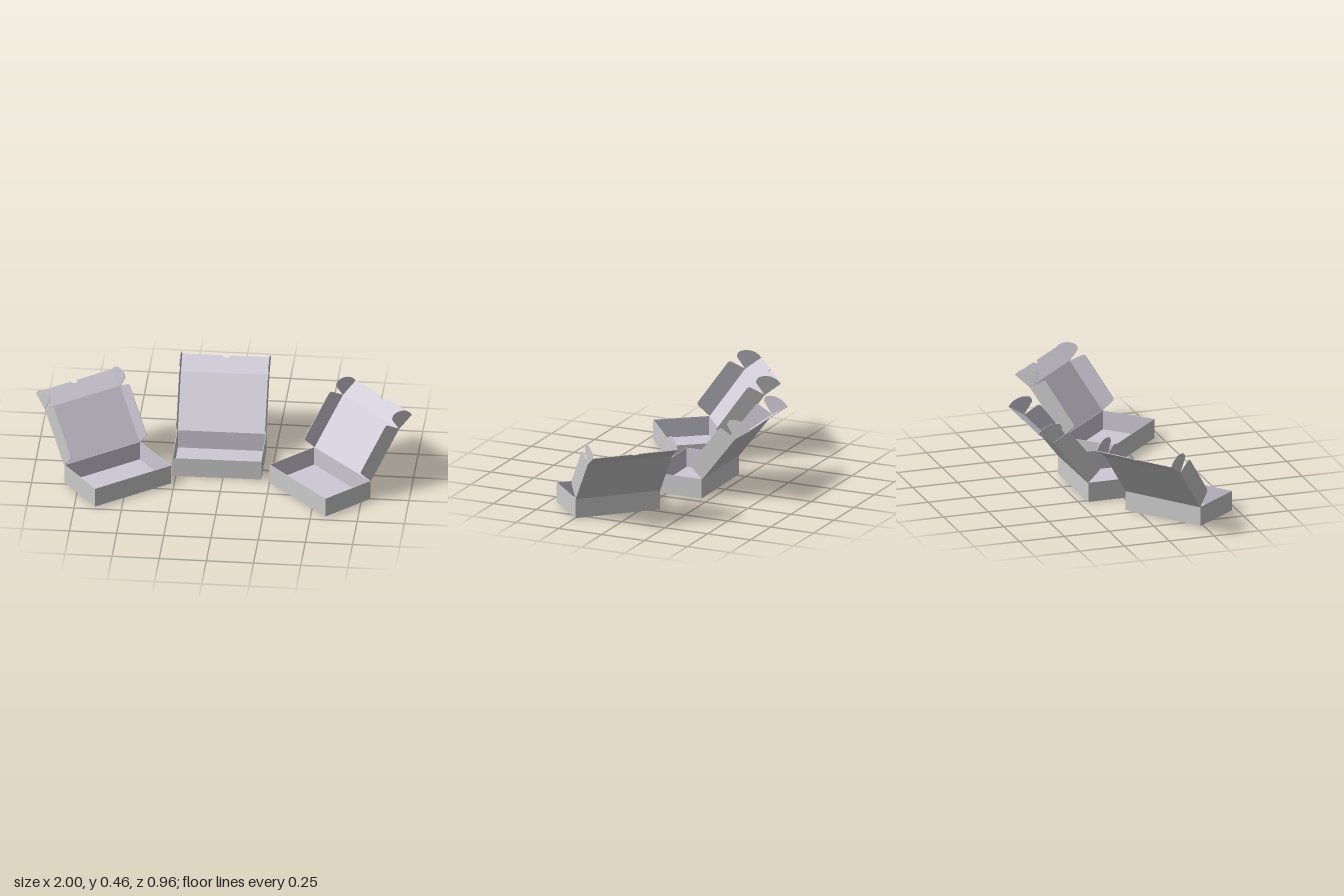
import * as THREE from 'three';

const W = 0.472, D = 0.305, H = 0.107;   // tray width, depth, height
const LID = 0.314, TUCK = 0.105;         // lid panel and tuck flap lengths
const T = 0.003;                         // card thickness

const outside = new THREE.MeshStandardMaterial({ color: 0xcccccc });
outside.name = 'outerCard';
const inside = new THREE.MeshStandardMaterial({ color: 0xcdc9d5 });
inside.name = 'innerCard';

// Card panel drawn in XY: outer card behind z = 0, inner lining facing +z
function panel(parent, name, shape, pos, rx = 0, ry = 0) {
  const g = new THREE.Group();
  g.name = name;
  const card = new THREE.ExtrudeGeometry(shape, { depth: T, bevelEnabled: false, curveSegments: 10 });
  card.translate(0, 0, -T);
  const lining = new THREE.ShapeGeometry(shape, 10);
  lining.translate(0, 0, 0.0005);
  const a = new THREE.Mesh(card, outside), b = new THREE.Mesh(lining, inside);
  a.name = name + 'Outer';
  b.name = name + 'Inner';
  g.add(a, b);
  g.position.set(...pos);
  g.rotation.set(rx, ry, 0);
  parent.add(g);
  return g;
}

function rect(x0, x1, y0, y1) {
  return new THREE.Shape([[x0, y0], [x1, y0], [x1, y1], [x0, y1]].map(p => new THREE.Vector2(...p)));
}

// Side flap of the lid: slightly tapered with rounded free corners
function sideFlapShape(s) {
  const p = new THREE.Shape();
  p.moveTo(0, 0);
  p.lineTo(s * 0.083, 0.011);
  p.quadraticCurveTo(s * 0.1, 0.013, s * 0.1, 0.03);
  p.lineTo(s * 0.1, LID - 0.03);
  p.quadraticCurveTo(s * 0.1, LID - 0.012, s * 0.083, LID - 0.01);
  p.lineTo(0, LID);
  p.closePath();
  return p;
}

// Quarter-round ear of the tuck flap
function earShape(s) {
  const p = new THREE.Shape();
  const r = 0.103;
  p.moveTo(0, 0);
  p.lineTo(s * 0.084, 0);
  p.quadraticCurveTo(s * 0.096, 0.008, s * r * Math.cos(0.26), r * Math.sin(0.26));
  for (let i = 1; i <= 10; i++) {
    const a = 0.26 + (Math.PI / 2 - 0.26) * i / 10;
    p.lineTo(s * r * Math.cos(a), r * Math.sin(a));
  }
  p.closePath();
  return p;
}

// Tuck flap with a thumb notch in its free edge
function tuckShape() {
  const p = new THREE.Shape();
  p.moveTo(-W / 2, 0);
  p.lineTo(W / 2, 0);
  p.lineTo(W / 2, TUCK);
  p.lineTo(0.02, TUCK);
  p.absellipse(0, TUCK, 0.02, 0.015, 0, Math.PI, true);
  p.lineTo(-W / 2, TUCK);
  p.closePath();
  return p;
}

function mailerBox(name) {
  const box = new THREE.Group();
  box.name = name;

  // Open tray, hinge along the x axis at the back
  panel(box, 'floor', rect(-W / 2, W / 2, 0, D), [0, T, D], -Math.PI / 2);
  panel(box, 'backWall', rect(-W / 2, W / 2, 0, H), [0, 0, T]);
  panel(box, 'frontWall', rect(-W / 2, W / 2, 0, H), [0, 0, D - T], 0, Math.PI);

  // Raised lid with the tuck flap bent further back
  const lid = new THREE.Group();
  lid.name = 'lid';
  lid.position.y = H;
  lid.rotation.x = -0.659;
  box.add(lid);
  panel(lid, 'lidPanel', rect(-W / 2, W / 2, 0, LID), [0, 0, 0]);
  const tuck = new THREE.Group();
  tuck.name = 'tuck';
  tuck.position.y = LID;
  tuck.rotation.x = -0.337;
  lid.add(tuck);
  panel(tuck, 'tuckFlap', tuckShape(), [0, 0, 0]);

  // Mirrored side parts
  for (const s of [1, -1]) {
    const side = s > 0 ? 'left' : 'right';
    const x = s * (W / 2 - T), turn = -s * Math.PI / 2;
    panel(box, side + 'Wall', s > 0 ? rect(0, D, 0, H) : rect(-D, 0, 0, H), [x, 0, 0], 0, turn);
    panel(lid, side + 'LidFlap', sideFlapShape(s), [x, 0, 0], 0, turn);
    panel(tuck, side + 'Ear', earShape(s), [x, 0, 0], 0, turn);
  }
  return box;
}

export function createModel() {
  const model = new THREE.Group();
  model.name = 'mailerBoxes';
  // name, hinge x, hinge z, turn
  const places = [
    ['middleBox', -0.036, -0.203, 0.012],
    ['rightBox', -0.641, 0.089, 0.658],
    ['leftBox', 0.631, 0.08, -0.793],
  ];
  for (const [name, x, z, turn] of places) {
    const b = mailerBox(name);
    b.position.set(x, 0, z);
    b.rotation.y = turn;
    model.add(b);
  }
  return model;
}
